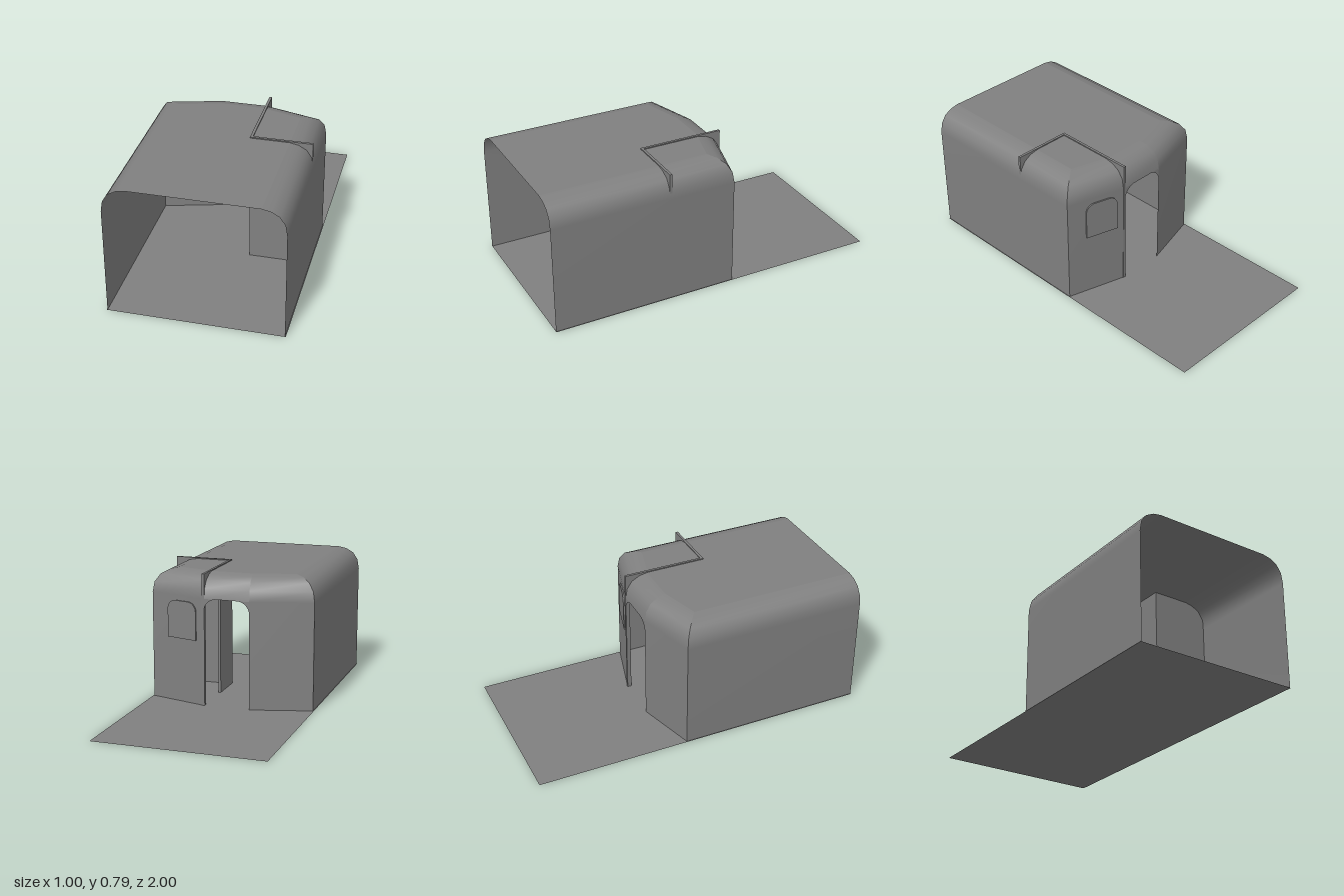
import * as THREE from 'three';

// Roof edge: height and how far the plan outline is drawn in there
const EDGE = [[0, 0], [0.64, 0], [0.7, 0.01], [0.745, 0.04], [0.77, 0.085], [0.78, 0.135]];
const HALF = 0.495, DOOR = 0.138, DOOR_TOP = 0.64, BACK = -0.2, CORNER = -0.1;
const SLOPE = (CORNER - BACK) / (HALF - DOOR);

// Plan outline drawn in by d, from the +x open end around the cab to the -x open end
function plan(d) {
  const half = [
    [HALF - d, 1],
    [HALF - d, CORNER + 0.76 * d],
    [DOOR - 0.14 * d, BACK + d],
  ];
  return [...half, ...half.slice().reverse().map(([x, z]) => [-x, z])];
}

// One smooth panel between neighbouring plan corners, over the given edge rows
function panel(i, rows) {
  const pos = [], index = [];
  rows.forEach(([y, d], r) => {
    const p = plan(d);
    for (const [x, z] of [p[i], p[i + 1]]) pos.push(x, y, z);
    if (r) {
      const a = 2 * (r - 1);
      index.push(a, a + 1, a + 3, a, a + 3, a + 2);
    }
  });
  return surface(pos, index);
}

function surface(pos, index) {
  const g = new THREE.BufferGeometry();
  g.setAttribute('position', new THREE.Float32BufferAttribute(pos, 3));
  g.setIndex(index);
  g.computeVertexNormals();
  return g;
}

// Upright outline with a flat foot and rounded top corners
function arch(path, x0, x1, y0, y1, r) {
  path.moveTo(x0, y0);
  path.lineTo(x1, y0);
  path.lineTo(x1, y1 - r);
  path.absarc(x1 - r, y1 - r, r, 0, Math.PI / 2, false);
  path.absarc(x0 + r, y1 - r, r, Math.PI / 2, Math.PI, false);
  path.closePath();
  return path;
}

export function createModel() {
  const grey = new THREE.MeshStandardMaterial({ color: 0x808080, side: THREE.DoubleSide });
  grey.name = 'warm grey';
  const model = new THREE.Group();
  model.name = 'railCab';
  const add = (name, geometry, x = 0, y = 0, z = 0) => {
    const mesh = new THREE.Mesh(geometry, grey);
    mesh.name = name;
    mesh.position.set(x, y, z);
    model.add(mesh);
    return mesh;
  };

  // Floor, running out behind the cab
  add('floor', new THREE.PlaneGeometry(1, 2).rotateX(-Math.PI / 2));

  // Shell: side walls, slanted cab faces and the header over the doorway
  ['leftWall', 'leftCabFace', 'doorHeader', 'rightCabFace', 'rightWall'].forEach((name, i) => {
    add(name, panel(i, i === 2 ? EDGE.slice(1) : EDGE));
  });

  // Flat roof
  const [topY, topInset] = EDGE[EDGE.length - 1];
  const roof = plan(topInset);
  add('roof', surface(roof.flatMap(([x, z]) => [x, topY, z]),
    [0, 1, 2, 0, 2, 3, 0, 3, 4, 0, 4, 5]));

  // Rounded top corners of the doorway
  const r = 0.065;
  for (const s of [1, -1]) {
    const shape = new THREE.Shape();
    shape.moveTo(s * DOOR, DOOR_TOP);
    shape.lineTo(s * (DOOR - r), DOOR_TOP);
    shape.quadraticCurveTo(s * (DOOR - 0.012), DOOR_TOP - 0.012, s * DOOR, DOOR_TOP - r);
    // turned about so that it faces the back
    add('doorwayCorner', new THREE.ShapeGeometry(shape, 8).rotateY(Math.PI), 0, 0, BACK);
  }

  // Raised window on the left slanted cab face
  const pane = arch(new THREE.Shape(), 0.054, 0.255, 0.385, 0.61, 0.055);
  const windowMesh = add('cabWindow',
    new THREE.ExtrudeGeometry(pane, { depth: 0.008, bevelEnabled: false, curveSegments: 6 })
      .translate(0, 0, -0.008), DOOR, 0, BACK);
  windowMesh.rotation.y = -Math.atan(SLOPE);

  // Driver's compartment: cross wall and a lengthwise wall with a doorway
  const T = 0.015, WALL_TOP = 0.786, WALL_X = 0.135, WALL_Z = 0.3;
  add('crossPartition', new THREE.BoxGeometry(0.355, WALL_TOP, T),
    WALL_X + 0.1775, WALL_TOP / 2, WALL_Z - T / 2);

  const side = new THREE.Shape();
  side.moveTo(BACK, 0);
  side.lineTo(-0.176, 0);
  side.lineTo(-0.176, DOOR_TOP - 0.05);
  side.quadraticCurveTo(-0.176, DOOR_TOP, -0.126, DOOR_TOP);
  side.lineTo(0.033, DOOR_TOP);
  side.quadraticCurveTo(0.083, DOOR_TOP, 0.083, DOOR_TOP - 0.05);
  side.lineTo(0.083, 0);
  side.lineTo(WALL_Z, 0);
  side.lineTo(WALL_Z, WALL_TOP);
  side.lineTo(BACK, WALL_TOP);
  add('sidePartition',
    new THREE.ExtrudeGeometry(side, { depth: T, bevelEnabled: false, curveSegments: 6 })
      .rotateY(-Math.PI / 2), WALL_X + T, 0, 0);

  return model;
}
